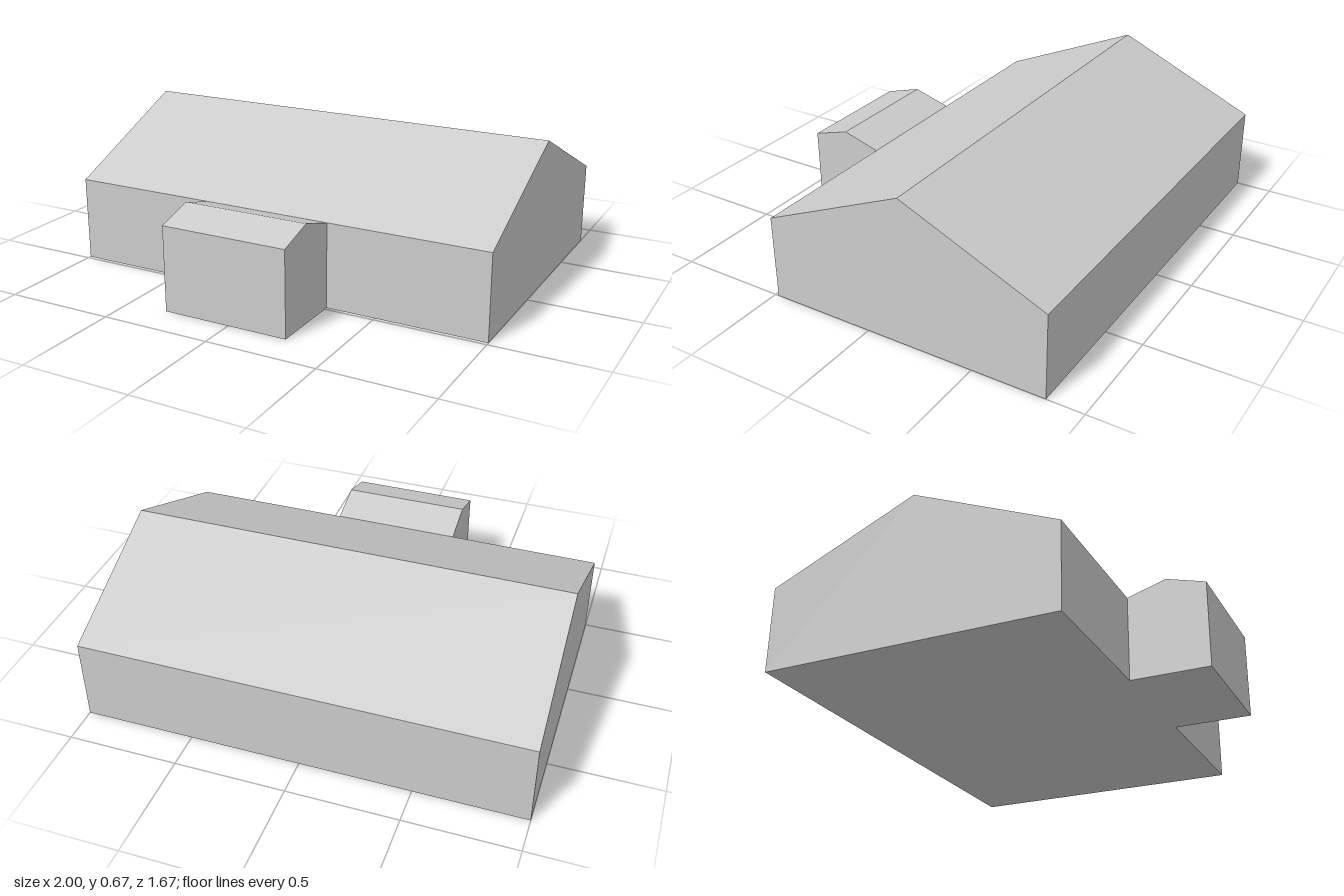
import * as THREE from 'three';

const material = new THREE.MeshStandardMaterial({ color: 0xcccccc, flatShading: true });

// Solid block with a gabled roof whose ridge runs along x
function gabledBlock(name, { xMin, xMax, zBack, zFront, zRidge, eave, ridge }) {
  const gable = new THREE.Shape([
    [zBack, 0], [zFront, 0], [zFront, eave], [zRidge, ridge], [zBack, eave],
  ].map(([z, y]) => new THREE.Vector2(z, y)));
  const geometry = new THREE.ExtrudeGeometry(gable, { depth: xMax - xMin, bevelEnabled: false });
  geometry.rotateY(-Math.PI / 2); // outline lies in z-y, length runs towards -x
  geometry.translate(xMax, 0, 0);
  const mesh = new THREE.Mesh(geometry, material);
  mesh.name = name;
  return mesh;
}

export function createModel() {
  const group = new THREE.Group();
  group.name = 'gabledBuilding';
  group.add(
    // Long main hall
    gabledBlock('mainHall', {
      xMin: -1, xMax: 1, zBack: -0.834, zFront: 0.483, zRidge: -0.176, eave: 0.385, ridge: 0.673,
    }),
    // Small entrance block on the front wall
    gabledBlock('entrancePorch', {
      xMin: -0.31, xMax: 0.273, zBack: 0.483, zFront: 0.834, zRidge: 0.659, eave: 0.385, ridge: 0.437,
    }),
  );
  return group;
}
